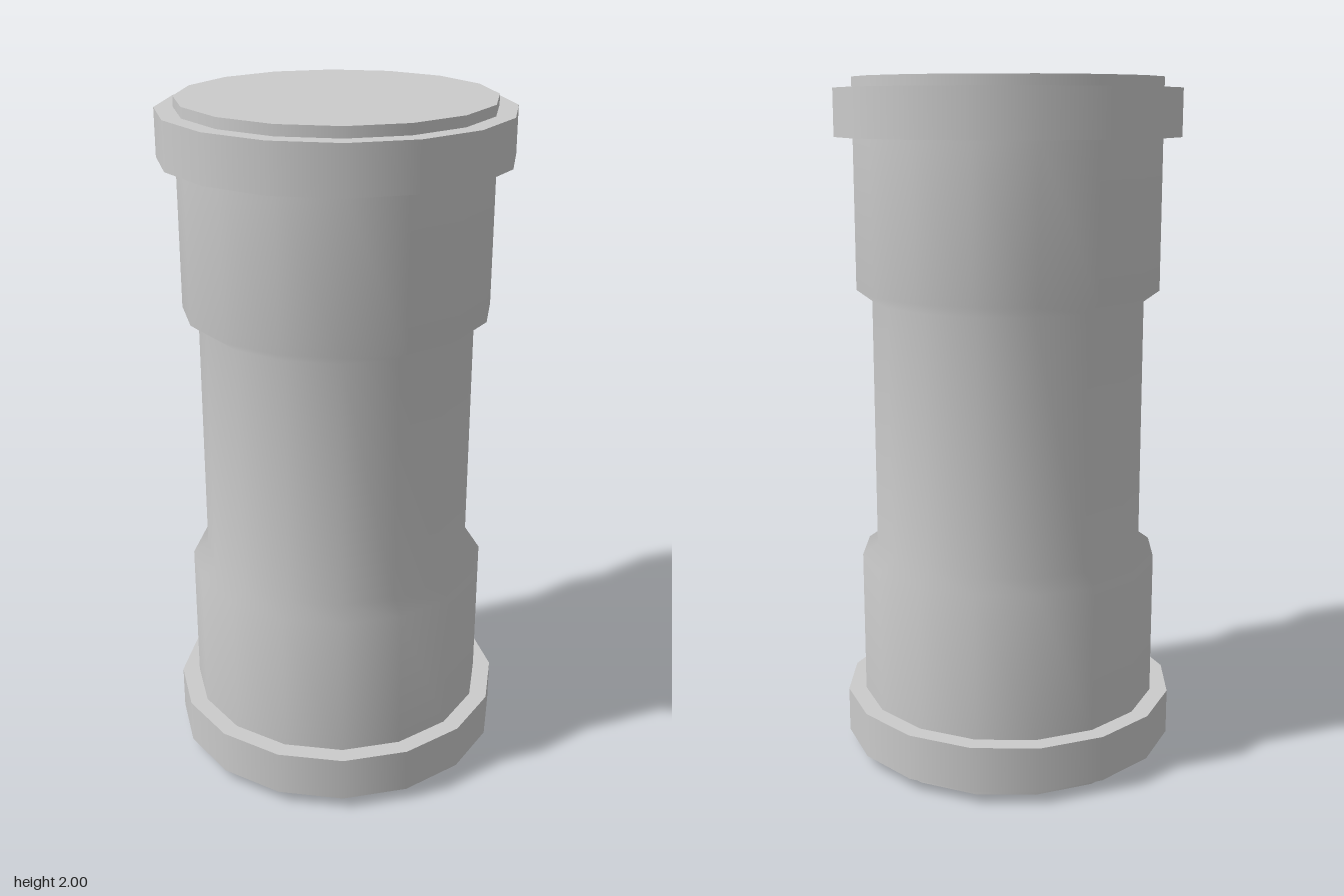
import * as THREE from 'three';

const SIDES = 16;
const TURN = Math.PI / 32; // quarter-facet twist of the polygon

const R_BODY = 0.445, R_NECK = 0.4, R_RING = 0.498;

export function createModel() {
  const model = new THREE.Group();
  const material = new THREE.MeshStandardMaterial({ color: 0xcccccc });

  // Revolves a profile given as [radius, height] pairs, from bottom to top
  const revolve = (name, parent, profile) => {
    const points = profile.map(([r, y]) => new THREE.Vector2(r, y));
    const mesh = new THREE.Mesh(new THREE.LatheGeometry(points, SIDES, TURN), material);
    mesh.name = name;
    parent.add(mesh);
  };

  // Barrel with a narrower waist, smooth over the bevels
  revolve('barrel', model, [
    [R_BODY, 0.17], [R_BODY, 0.602], [R_NECK, 0.635],
    [R_NECK, 1.37], [R_BODY, 1.403], [R_BODY, 1.835],
  ]);

  // Raised collars: underside, outer band and top side
  for (const [name, y0, y1] of [['lowerCollar', 0.035, 0.17], ['upperCollar', 1.835, 1.97]]) {
    const collar = new THREE.Group();
    collar.name = name;
    revolve('underside', collar, [[R_BODY, y0], [R_RING, y0]]);
    revolve('band', collar, [[R_RING, y0], [R_RING, y1]]);
    revolve('topSide', collar, [[R_RING, y1], [R_BODY, y1]]);
    model.add(collar);
  }

  // End plugs beyond the collars
  revolve('bottomRim', model, [[R_BODY, 0], [R_BODY, 0.035]]);
  revolve('bottomFace', model, [[0, 0], [R_BODY, 0]]);
  revolve('topRim', model, [[R_BODY, 1.97], [R_BODY, 2]]);
  revolve('topFace', model, [[R_BODY, 2], [0, 2]]);

  return model;
}
